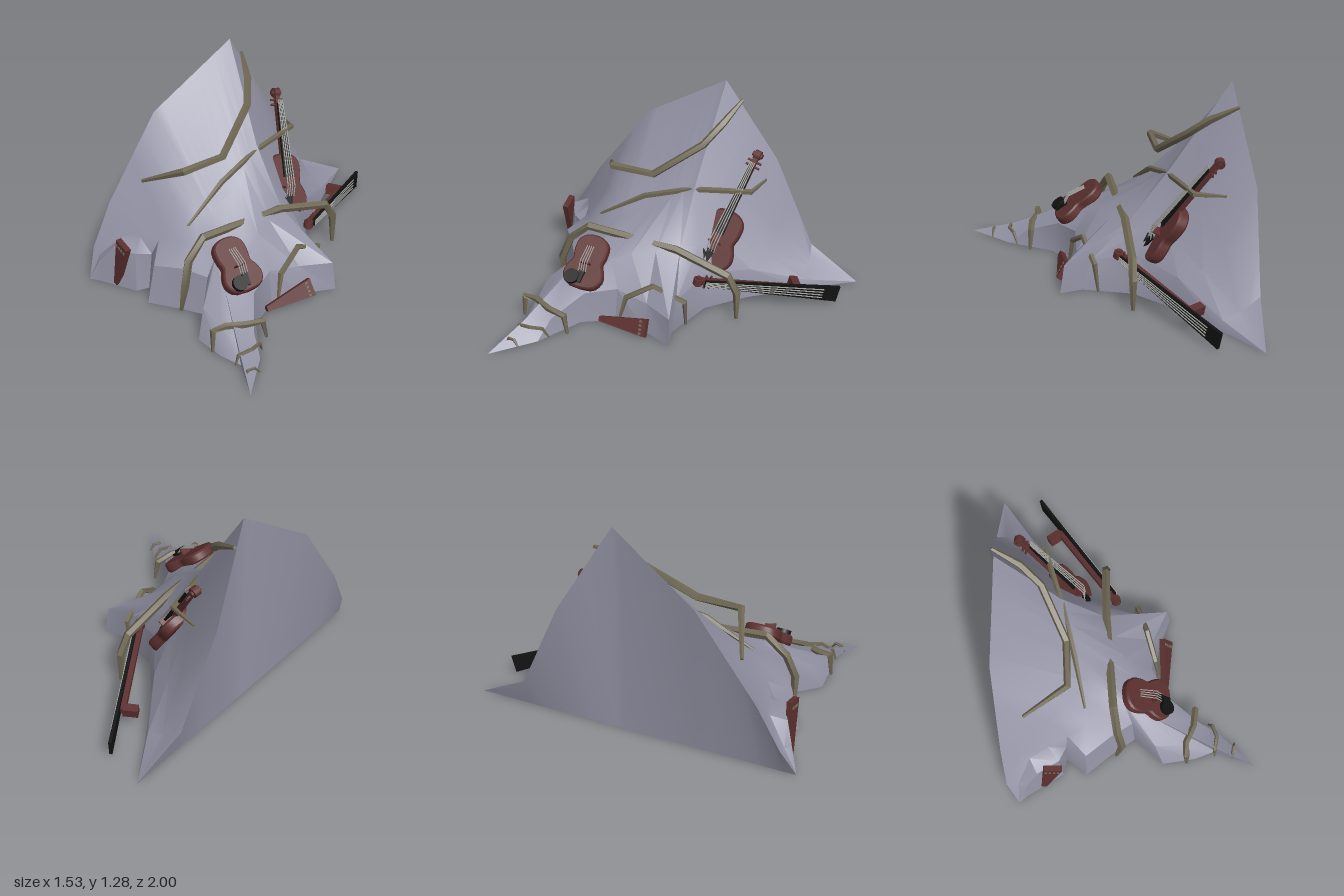
import * as THREE from 'three';
import { toCreasedNormals } from 'three/addons/utils/BufferGeometryUtils.js';

const mat = (name, color) => {
  const m = new THREE.MeshStandardMaterial({ color });
  m.name = name;
  return m;
};
const V = (a) => new THREE.Vector3(...a);

export function createModel() {
  const stone = mat('stone grey', 0x9393a5);
  const bark = mat('root bark', 0x6e6753);
  const wood = mat('red brown wood', 0x5c302f);
  const ebony = mat('ebony black', 0x121212);
  const wire = mat('string grey', 0xa3a3a0);
  const model = new THREE.Group();

  const add = (parent, name, geo, material, pos = [0, 0, 0]) => {
    const m = new THREE.Mesh(geo, material);
    m.name = name;
    m.position.set(...pos);
    parent.add(m);
    return m;
  };
  const indexed = (pos, idx, crease) => {
    const g = new THREE.BufferGeometry();
    g.setAttribute('position', new THREE.Float32BufferAttribute(pos, 3));
    g.setIndex(idx);
    return toCreasedNormals(g, crease);
  };

  // ---- Rock: columns run foot -> skirt -> bench -> slope -> rim -> back wall
  // Footprint corners: x, z and the height of the skirt above them
  const foot = [
    [-.69, -1, 0], [-.5, -.7, .06], [-.3, -.4, .2], [-.1, -.18, .25], [.19, -.075, .2], [.325, -.1, .18],
    [.24, .08, .18], [.2, .29, .22], [.29, .48, .2], [.55, .65, .1], [.76, .88, .09], [.53, .77, .08],
    [.4, .81, .12], [.2, .825, .17], [.04, .66, .25], [-.1, .74, .27], [-.27, .857, .25], [-.385, .757, .24],
    [-.41, .847, .25], [-.55, .92, .25], [-.63, .96, .14], [-.69, 1, 0],
  ];
  // Guide lines over the rock: column number, x, y, z
  const guide = (keys) => (j) => {
    const k = Math.max(1, keys.findIndex((q) => q[0] >= j));
    const [a, b] = [keys[k - 1], keys[k]];
    return V(a.slice(1)).lerp(V(b.slice(1)), (j - a[0]) / (b[0] - a[0]));
  };
  const backEnd = [0, -.69, 0, -1], frontEnd = [21, -.69, 0, 1];
  const bench = guide([backEnd, [1, -.62, .1, -.69], [3, -.3, .4, -.2], [5, -.1, .4, -.02], [7, .02, .39, .25],
    [10, .15, .27, .6], [14, -.02, .36, .52], [16, -.25, .36, .64], [19, -.6, .28, .8], [20, -.68, .15, .92], frontEnd]);
  const slope = guide([backEnd, [1, -.68, .14, -.69], [3, -.48, .62, -.28], [5, -.35, .73, -.03], [9, -.25, .54, .24],
    [14, -.23, .48, .41], [16, -.38, .52, .54], [19, -.66, .33, .79], [20, -.72, .16, .92], frontEnd]);
  const rim = guide([backEnd, [1, -.74, .18, -.68], [3, -.77, .74, -.42], [5, -.69, 1.28, -.1],
    [15, -.765, .93, .42], [19, -.76, .43, .78], [20, -.75, .17, .92], frontEnd]);

  const rockPos = [], rockIdx = [], rows = 6;
  foot.forEach(([x, z, h], j) => {
    const f = V([x, 0, z]), b = bench(j), r = rim(j);
    const skirt = f.clone().lerp(b, j === 10 ? .43 : j === 5 ? .06 : j < 9 ? .15 : .25).setY(h);
    [f, skirt, b, slope(j), r, V([-.69, 0, r.z])].forEach((p) => rockPos.push(...p.toArray()));
    if (j === foot.length - 1) return;
    for (let i = 0; i < rows - 1; i++) {
      const a = j * rows + i, n = a + rows;
      rockIdx.push(a, a + 1, n + 1, a, n + 1, n);
    }
  });
  add(model, 'rock', indexed(rockPos, rockIdx, 0.6), stone);
  const footprint = new THREE.Shape(foot.map(([x, z]) => new THREE.Vector2(x, z)));
  add(model, 'rockUnderside', new THREE.ShapeGeometry(footprint).rotateX(Math.PI / 2), stone);

  // ---- Roots: five-sided tapering limbs along a few points
  const root = (name, r, ...pts) => {
    const P = pts.map(V), n = P.length, sides = 5, p = [], t = [];
    let u = V([.3, 0, 1]);
    P.forEach((c, k) => {
      const d = P[Math.min(k + 1, n - 1)].clone().sub(P[Math.max(k - 1, 0)]).normalize();
      // carry the side direction along the limb so that it does not twist
      u = u.clone().addScaledVector(d, -u.dot(d)).normalize();
      const w = d.clone().cross(u);
      const rad = k === 0 || k === n - 1 ? r * .45 : r;
      for (let s = 0; s < sides; s++) {
        const a = s / sides * Math.PI * 2;
        p.push(...c.clone().addScaledVector(u, Math.cos(a) * rad).addScaledVector(w, Math.sin(a) * rad).toArray());
        if (k === n - 1) continue;
        const i = k * sides + s, j = k * sides + (s + 1) % sides;
        t.push(i, j, j + sides, i, j + sides, i + sides);
      }
    });
    const end = (n - 1) * sides;
    for (let s = 1; s < sides - 1; s++) t.push(0, s + 1, s, end, end + s, end + s + 1);
    add(model, name, indexed(p, t, 0.5), bark);
  };
  root('summitRoot', .024, [-.71, 1.15, -.2], [-.56, 1.06, -.13], [-.45, .95, -.04], [-.33, .75, .24], [-.34, .75, .51], [-.61, .6, .63]);
  root('shoulderRoot', .018, [-.6, .69, -.4], [-.42, .7, -.36], [-.34, .69, 0], [-.29, .61, .28], [-.25, .44, .56]);
  root('benchRoot', .026, [-.06, .01, -.4], [-.06, .2, -.4], [-.065, .31, -.34], [-.085, .41, 0], [-.085, .45, .57], [-.07, .34, .69], [-.045, .2, .74], [-.08, .01, .75]);
  root('sideRoot', .018, [.1, .01, -.13], [.12, .19, -.13], [.16, .29, .06], [.2, .19, .22], [.22, .02, .26]);
  root('tailRoot', .021, [.43, .01, .51], [.42, .13, .53], [.4, .145, .64], [.345, .15, .74], [.34, .15, .82], [.345, .01, .83]);
  root('tailRootSmall', .012, [.5, .01, .6], [.52, .08, .63], [.54, .085, .7], [.52, .07, .78], [.52, .01, .8]);
  root('tailRootTiny', .01, [.65, .01, .73], [.64, .05, .76], [.63, .045, .8], [.63, .01, .82]);

  // ---- Instrument helpers: local +y runs up the neck, +z faces out of the front
  const frame = (name, origin, up, normal, scale = 1) => {
    const g = new THREE.Group();
    g.name = name;
    const y = V(up).normalize(), x = y.clone().cross(V(normal)).normalize();
    g.quaternion.setFromRotationMatrix(new THREE.Matrix4().makeBasis(x, y, x.clone().cross(y)));
    g.position.set(...origin);
    g.scale.setScalar(scale);
    model.add(g);
    return g;
  };
  const taper = (y0, w0, y1, w1, depth) => new THREE.ExtrudeGeometry(
    new THREE.Shape([[-w0 / 2, y0], [w0 / 2, y0], [w1 / 2, y1], [-w1 / 2, y1]].map((q) => new THREE.Vector2(...q))),
    { depth, bevelEnabled: false });
  const strings = (g, y0, w0, y1, w1, z0, z1) => {
    for (let i = 0; i < 4; i++) {
      const k = i / 3 - .5;
      const a = V([k * w0, y0, z0]), b = V([k * w1, y1, z1]);
      const s = add(g, 'string', new THREE.BoxGeometry(.005, .005, a.distanceTo(b)), wire);
      s.position.copy(a).lerp(b, .5);
      s.quaternion.setFromUnitVectors(V([0, 0, 1]), b.sub(a).normalize());
    }
  };
  const body = (g) => {
    const half = [[0, 0], [.09, .012], [.13, .07], [.12, .13], [.095, .18], [.105, .24], [.1, .31], [.06, .35], [0, .36]];
    const full = [...half, ...half.slice(1, -1).reverse().map(([x, y]) => [-x, y]), half[0]];
    const curve = new THREE.SplineCurve(full.map((q) => new THREE.Vector2(...q)));
    const geo = new THREE.ExtrudeGeometry(new THREE.Shape(curve.getPoints(40).slice(0, -1)),
      { depth: .045, bevelThickness: .012, bevelSize: .01, bevelSegments: 1 });
    add(g, 'soundBox', toCreasedNormals(geo, 0.5), wood);
    add(g, 'bridge', new THREE.BoxGeometry(.075, .01, .05), wood, [0, .16, .08]);
    add(g, 'tailpiece', taper(.02, .02, .11, .045, .015), ebony, [0, 0, .065]);
    const rest = new THREE.CylinderGeometry(.05, .05, .03, 14).rotateX(Math.PI / 2);
    add(g, 'chinRest', rest, ebony, [-.06, .05, .075]);
  };
  const scroll = (g, y, z) => {
    const bar = (name, r, length, at) =>
      add(g, name, new THREE.CylinderGeometry(r, r, length, 10).rotateZ(Math.PI / 2), wood, [0, at, z]);
    bar('scroll', .03, .04, y);
    bar('scrollEye', .016, .065, y);
    for (let i = 0; i < 2; i++) bar('peg', .007, .09, y - .045 - i * .03);
  };

  // Whole violin leaning on the slope
  const violin = frame('violin', [-.22, .24, -.15], [-.52, .82, -.27], [.82, .52, 0]);
  body(violin);
  add(violin, 'neck', taper(.33, .04, .73, .03, .03), wood, [0, 0, .04]);
  add(violin, 'fingerboard', taper(.22, .06, .68, .035, .014), ebony, [0, 0, .075]);
  strings(violin, .1, .05, .16, .05, .08, .108);
  strings(violin, .16, .05, .7, .028, .108, .094);
  scroll(violin, .75, .05);

  // Broken violin body lying on the bench
  const broken = frame('brokenViolin', [.235, .215, .5], [-.78, .62, -.05], [.62, .78, 0], .9);
  body(broken);
  strings(broken, .1, .05, .16, .05, .08, .108);
  strings(broken, .16, .05, .28, .045, .108, .08);

  // Loose neck with a long fingerboard
  const loose = frame('looseNeck', [-.45, .065, -.93], [.45, .2, .77], [.87, 0, -.5]);
  add(loose, 'fingerboard', taper(0, .11, .86, .04, .018), ebony);
  add(loose, 'neck', taper(.26, .045, .88, .035, .03), wood, [0, 0, -.032]);
  add(loose, 'heel', new THREE.BoxGeometry(.06, .05, .09), wood, [0, .27, -.06]);
  strings(loose, .1, .06, .86, .028, .022, .022);
  scroll(loose, .9, -.01);

  // Loose tailpieces
  const tailpiece = (name, origin, up, normal) => {
    const g = frame(name, origin, up, normal);
    add(g, 'wedge', taper(0, .03, .32, .11, .035), wood, [0, 0, -.018]);
    for (let i = 0; i < 4; i++) {
      add(g, 'stringSlot', new THREE.BoxGeometry(.014, .016, .008), bark, [(i - 1.5) * .025, .285, .018]);
    }
  };
  tailpiece('frontTailpiece', [-.535, .012, .9], [.07, .31, -.02], [0, .06, 1]);
  tailpiece('sideTailpiece', [.25, .03, .37], [.035, .035, -.32], [.85, .5, 0]);

  return model;
}
